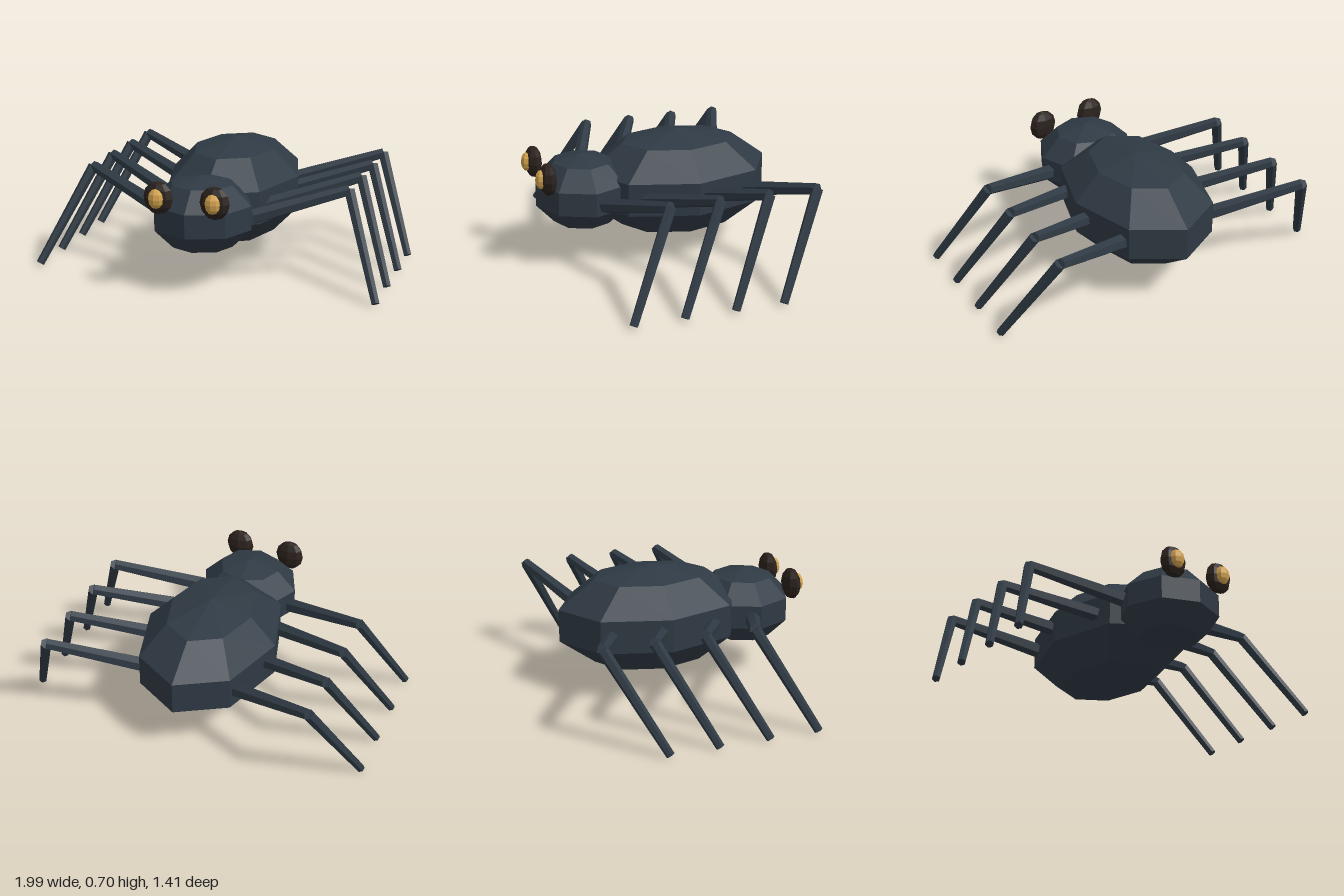
import * as THREE from 'three';

export function createModel() {
  const model = new THREE.Group();
  const material = (color) => new THREE.MeshStandardMaterial({ color, flatShading: true });
  const shell = material(0x2f3a44);
  const socketMat = material(0x2a211c);
  const pupilMat = material(0xd0a04c);

  // Low-poly ellipsoid
  function blob(name, mat, rows, [rx, ry, rz], [x, y, z], parent = model) {
    const mesh = new THREE.Mesh(new THREE.SphereGeometry(1, 8, rows), mat);
    mesh.geometry.scale(rx, ry, rz);
    mesh.position.set(x, y, z);
    mesh.name = name;
    parent.add(mesh);
  }

  // Tapered six-sided rod from a to b
  function rod(name, a, b, ra, rb, parent) {
    const dir = b.clone().sub(a);
    const mesh = new THREE.Mesh(new THREE.CylinderGeometry(rb, ra, dir.length(), 6), shell);
    mesh.position.copy(a).add(b).multiplyScalar(0.5);
    mesh.quaternion.setFromUnitVectors(new THREE.Vector3(0, 1, 0), dir.normalize());
    mesh.name = name;
    parent.add(mesh);
  }

  blob('abdomen', shell, 5, [0.394, 0.298, 0.557], [0, 0.402, -0.16]);
  blob('head', shell, 5, [0.295, 0.213, 0.28], [0, 0.402, 0.4]);

  // z of root, knee and foot for each leg, front to back
  const legs = [
    [0.35, 0.15, 0.425],
    [0.115, -0.125, 0.15],
    [-0.185, -0.4, -0.13],
    [-0.48, -0.675, -0.4],
  ];

  for (const [side, s] of [['left', 1], ['right', -1]]) {
    // Eye: dark socket with a golden pupil in front
    const eye = new THREE.Group();
    eye.name = `${side}Eye`;
    blob('eyeSocket', socketMat, 6, [0.083, 0.09, 0.048], [s * 0.157, 0.54, 0.635], eye);
    blob('pupil', pupilMat, 6, [0.043, 0.054, 0.035], [s * 0.157, 0.543, 0.671], eye);
    model.add(eye);

    legs.forEach(([rootZ, kneeZ, footZ], i) => {
      const leg = new THREE.Group();
      leg.name = `${side}Leg${i + 1}`;
      const root = new THREE.Vector3(s * 0.275, 0.397, rootZ);
      const knee = new THREE.Vector3(s * 0.75, 0.535, kneeZ);
      const foot = new THREE.Vector3(s * 0.973, 0.012, footZ);
      rod('upperLeg', root, knee, 0.043, 0.031, leg);
      rod('lowerLeg', knee, foot, 0.031, 0.023, leg);
      model.add(leg);
    });
  }
  return model;
}
